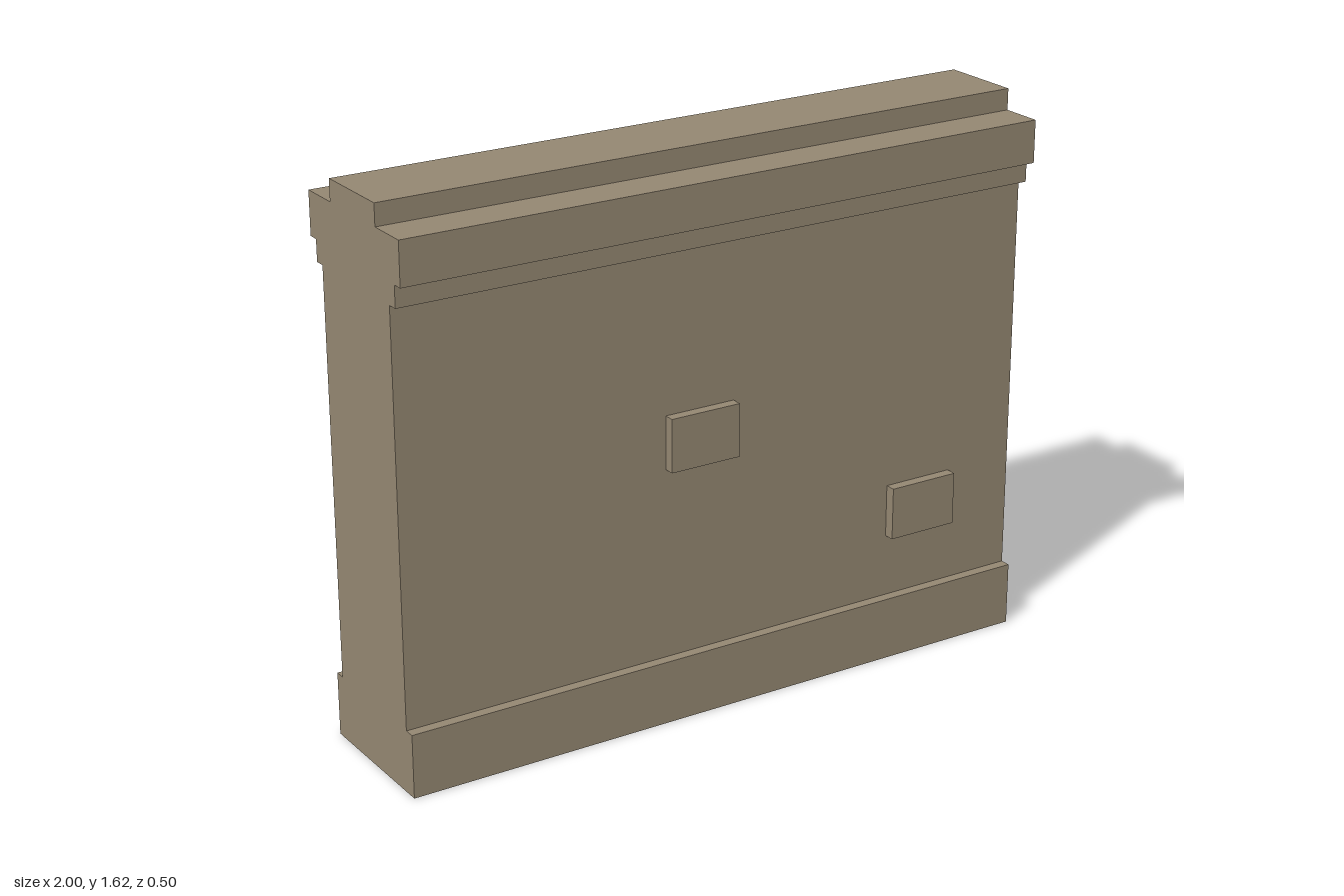
import * as THREE from 'three';

const U = 1 / 32; // modelling unit

export function createModel() {
  const group = new THREE.Group();
  group.name = 'wallSection';
  const stone = new THREE.MeshStandardMaterial({ color: 0x948772, side: THREE.DoubleSide });
  stone.name = 'stone';

  // Block between two corners, in modelling units; optionally without its underside
  function block(name, [x0, y0, z0], [x1, y1, z1], openBottom = false) {
    const geo = new THREE.BoxGeometry((x1 - x0) * U, (y1 - y0) * U, (z1 - z0) * U);
    if (openBottom) {
      const index = Array.from(geo.index.array);
      index.splice(18, 6);
      geo.setIndex(index);
      geo.clearGroups();
    }
    const mesh = new THREE.Mesh(geo, stone);
    mesh.name = name;
    mesh.position.set((x0 + x1) / 2 * U, (y0 + y1) / 2 * U, (z0 + z1) / 2 * U);
    group.add(mesh);
  }

  // Full-length courses: name, bottom, top, half depth, open underside
  const courses = [
    ['base', 0, 6, 7, true],
    ['wall', 6, 44, 6, true],
    ['stringCourse', 44, 46, 7, false],
    ['cornice', 46, 50, 8, false],
    ['coping', 50, 52, 4, true],
  ];
  for (const [name, y0, y1, d, open] of courses) {
    block(name, [-32, y0, -d], [32, y1, d], open);
  }

  // Raised bricks: left edge, bottom edge, face
  const bricks = [
    ['frontBrickUpper', -6, 24, 1],
    ['frontBrickLower', 18, 12, 1],
    ['backBrickUpper', 12, 30, -1],
    ['backBrickLower', -18, 16, -1],
  ];
  for (const [name, x, y, s] of bricks) {
    const z0 = s > 0 ? 6 : -7;
    block(name, [x, y, z0], [x + 7, y + 5, z0 + 1], true);
  }
  return group;
}
